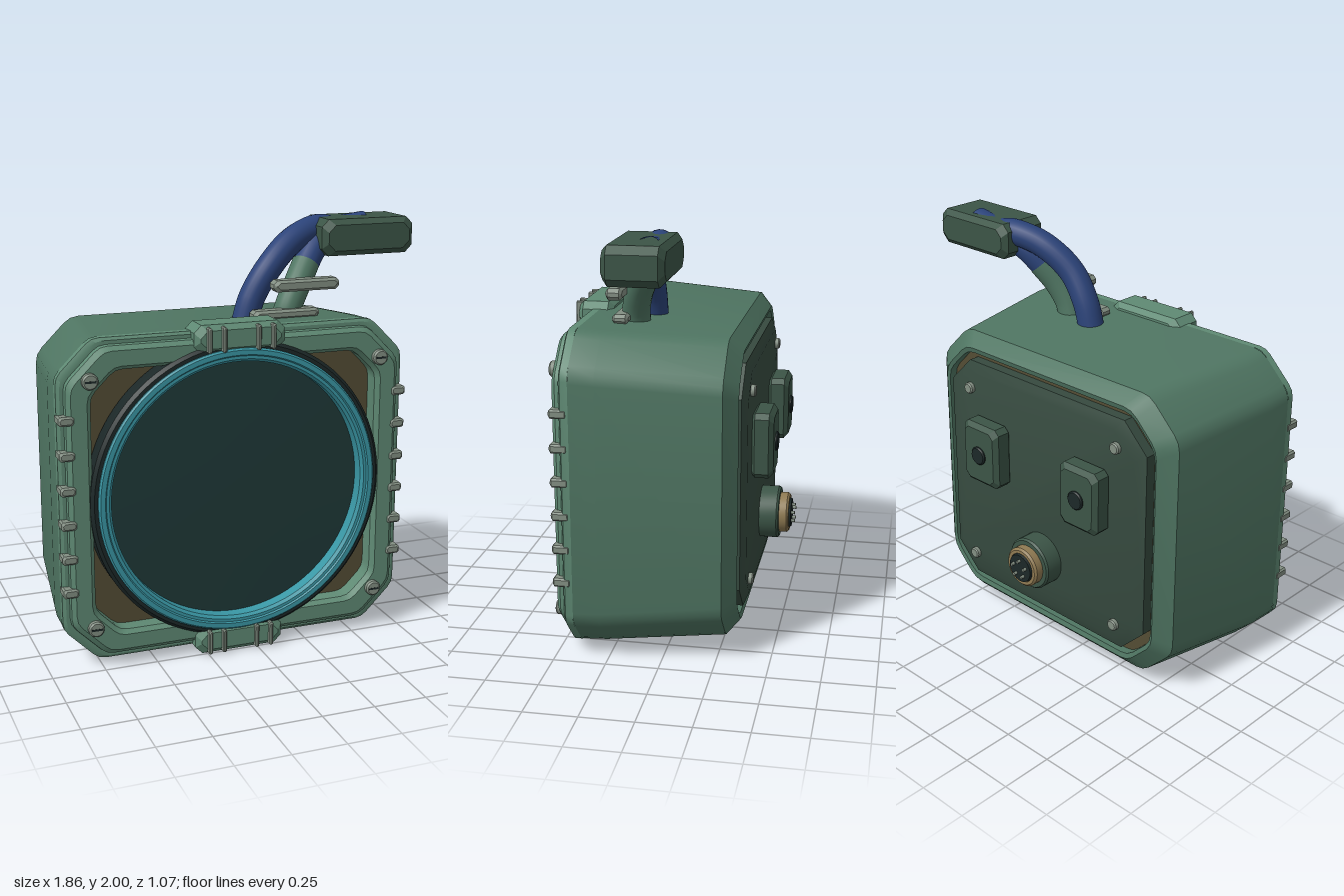
import * as THREE from 'three';
import { toCreasedNormals } from 'three/addons/utils/BufferGeometryUtils.js';

const mat = (color) => new THREE.MeshStandardMaterial({ color, side: THREE.DoubleSide });
const M = {
  body: mat(0x4f7562), frame: mat(0x5f8a74), dark: mat(0x3c5547), panel: mat(0x364a3f),
  blue: mat(0x2b4379), teal: mat(0x3a98a6), lens: mat(0x1f3938), black: mat(0x1c2828),
  brown: mat(0x544c34), metal: mat(0x838f83), gold: mat(0x8f7a52),
};
const CX = -0.09, CY = 0.795;

// Outline of a rectangle with cut corners, counter-clockwise seen from +z;
// round > 0 softens each of its eight corners with a short curve
function cutRect(w, h, c, round) {
  const p = [[w, -h + c], [w, h - c], [w - c, h], [-w + c, h],
    [-w, h - c], [-w, -h + c], [-w + c, -h], [w - c, -h]];
  if (!round) return p;
  return p.flatMap((v, i) => {
    const [a, b] = [p[(i + 7) % 8], p[(i + 1) % 8]].map((n) => {
      const t = round / Math.hypot(n[0] - v[0], n[1] - v[1]);
      return [v[0] + (n[0] - v[0]) * t, v[1] + (n[1] - v[1]) * t];
    });
    return [a, [0, 1].map((k) => (a[k] + 2 * v[k] + b[k]) / 4), b];
  });
}

// Skin over sections [z, halfWidth, halfHeight, cornerCut], optionally capped
function loft(sections, capped = false, round = 0) {
  const rings = sections.map(([z, w, h, c]) => cutRect(w, h, c, round).map(([x, y]) => [x, y, z]));
  const pos = [], n = rings[0].length;
  const tri = (...p) => p.forEach((v) => pos.push(...v));
  for (let k = 0; k < rings.length - 1; k++) {
    for (let i = 0; i < n; i++) {
      const j = (i + 1) % n;
      tri(rings[k][i], rings[k][j], rings[k + 1][j]);
      tri(rings[k][i], rings[k + 1][j], rings[k + 1][i]);
    }
  }
  if (capped) {
    const first = rings[0], last = rings[rings.length - 1];
    for (let i = 1; i < n - 1; i++) {
      tri(first[0], first[i + 1], first[i]);
      tri(last[0], last[i], last[i + 1]);
    }
  }
  const g = new THREE.BufferGeometry();
  g.setAttribute('position', new THREE.Float32BufferAttribute(pos, 3));
  return toCreasedNormals(g, 0.5);
}

// Block with all edges bevelled by b and the outline corners cut by c
const bevelBox = (w, h, d, b, c = b) => loft([
  [-d / 2, w / 2 - b, h / 2 - b, c], [-d / 2 + b, w / 2, h / 2, c],
  [d / 2 - b, w / 2, h / 2, c], [d / 2, w / 2 - b, h / 2 - b, c]], true);

export function createModel() {
  const model = new THREE.Group();
  const add = (name, geo, m, x = 0, y = 0, z = 0) => {
    const mesh = new THREE.Mesh(geo, m);
    mesh.name = name;
    mesh.position.set(x, y, z);
    model.add(mesh);
  };
  // Part turned about the z axis from [radius, z] points
  const turned = (name, pts, m, x, y, seg = 64) => {
    const g = new THREE.LatheGeometry(pts.map(([r, z]) => new THREE.Vector2(r, z)), seg);
    g.rotateX(Math.PI / 2);
    add(name, toCreasedNormals(g, 0.5), m, x, y);
  };

  // Tapered housing, with a recessed rear opening
  add('housing', loft([
    [-0.27, 0.675, 0.63, 0.14], [-0.335, 0.675, 0.632, 0.14], [-0.342, 0.688, 0.657, 0.15],
    [-0.28, 0.765, 0.72, 0.175], [0.28, 0.84, 0.752, 0.165], [0.40, 0.84, 0.758, 0.165]], false, 0.045),
  M.body, CX, CY);

  // Front frame: outer lip, then a narrower raised face around a bevelled opening
  add('frontFrame', loft([
    [0.40, 0.84, 0.758, 0.165], [0.435, 0.84, 0.758, 0.165], [0.445, 0.825, 0.745, 0.165],
    [0.445, 0.808, 0.728, 0.16], [0.468, 0.805, 0.725, 0.16], [0.486, 0.785, 0.705, 0.155],
    [0.486, 0.712, 0.635, 0.125], [0.465, 0.692, 0.617, 0.115], [0.375, 0.692, 0.617, 0.115]], false, 0.035),
  M.frame, CX, CY);
  add('frontBackingPlate', bevelBox(1.40, 1.25, 0.03, 0.005, 0.12), M.brown, CX, CY, 0.378);

  // Round front: seal, bright ring and a dark disc set back inside it
  turned('sealRing', [[0.70, 0.38], [0.71, 0.40], [0.71, 0.485], [0.695, 0.50], [0.67, 0.50],
    [0.67, 0.48]], M.black, CX, CY, 96);
  turned('brightRing', [[0.678, 0.48], [0.678, 0.507], [0.67, 0.515], [0.648, 0.515],
    [0.642, 0.508], [0.628, 0.508], [0.615, 0.495], [0.615, 0.43]], M.teal, CX, CY, 96);
  turned('frontDisc', [[0.617, 0.437], [0.4, 0.442], [0.2, 0.445], [0, 0.446]], M.lens, CX, CY, 96);

  // Rear panel
  add('rearBackingPlate', bevelBox(1.36, 1.27, 0.03, 0.005, 0.14), M.brown, CX, CY, -0.28);
  add('rearPanel', loft([
    [-0.37, 0.585, 0.545, 0.12], [-0.347, 0.64, 0.595, 0.135], [-0.28, 0.64, 0.595, 0.135]], true),
  M.panel, CX, CY);

  // Slotted screws, front and rear
  for (const sx of [-1, 1]) {
    for (const sy of [-1, 1]) {
      const x = CX + sx * 0.70, y = CY + sy * 0.58;
      turned('frontScrew', [[0.037, 0.46], [0.037, 0.505], [0.03, 0.513], [0, 0.513]], M.metal, x, y, 20);
      add('frontScrewSlot', new THREE.BoxGeometry(0.05, 0.009, 0.004), M.black, x, y, 0.513);
      turned('rearScrew', [[0, -0.393], [0.022, -0.393], [0.028, -0.387], [0.028, -0.365]], M.metal,
        CX + sx * 0.48, CY + sy * 0.463, 16);
    }
  }

  // Grip ribs wrapping the lip on both sides of the frame
  for (const s of [-1, 1]) {
    for (let i = 0; i < 6; i++) {
      add('sideRib', bevelBox(0.072, 0.042, 0.085, 0.008), M.metal, CX + s * 0.807, 0.397 + i * 0.161, 0.45);
    }
  }

  // Ribbed latches above and below the disc
  for (const s of [-1, 1]) {
    const y = CY + s * 0.725;
    add('latch', bevelBox(0.435, 0.13, 0.17, 0.024, 0.034), M.frame, CX, y, 0.425);
    for (const x of [-0.245, -0.175, -0.01, 0.062]) {
      add('latchRib', bevelBox(0.018, 0.115, 0.04, 0.005), M.metal, x, y, 0.513);
    }
  }

  // Rear sockets with round buttons
  for (const s of [-1, 1]) {
    const x = CX + s * 0.326;
    add('rearSocket', bevelBox(0.238, 0.315, 0.11, 0.022, 0.025), M.dark, x, 0.975, -0.415);
    turned('rearSocketButton', [[0, -0.482], [0.04, -0.482], [0.046, -0.476], [0.046, -0.465]],
      M.black, x, 0.975, 24);
  }

  // Rear connector with pins
  turned('connectorBase', [[0.09, -0.465], [0.122, -0.465], [0.13, -0.455], [0.13, -0.36]], M.dark, CX, 0.5, 40);
  turned('connectorRing', [[0.07, -0.50], [0.075, -0.512], [0.09, -0.512], [0.10, -0.502], [0.10, -0.46]],
    M.gold, CX, 0.5, 40);
  turned('connectorFace', [[0, -0.522], [0.07, -0.522], [0.077, -0.50]], M.black, CX, 0.5, 32);
  for (let i = 0; i < 5; i++) {
    const a = Math.PI / 2 + i * Math.PI * 0.4;
    const pin = new THREE.CylinderGeometry(0.008, 0.008, 0.03, 10).rotateX(Math.PI / 2);
    add('connectorPin', pin, M.metal, CX + Math.cos(a) * 0.042, 0.5 + Math.sin(a) * 0.042, -0.525);
  }

  // Cables rising from the top into the plug block
  const cable = (name, pts, r, m) => {
    const curve = new THREE.CatmullRomCurve3(pts.map((p) => new THREE.Vector3(...p)));
    add(name, new THREE.TubeGeometry(curve, 48, r, 20), m);
  };
  cable('mainCable', [[0.065, 1.5, 0.14], [0.105, 1.63, 0.14], [0.195, 1.77, 0.135],
    [0.335, 1.885, 0.085], [0.49, 1.932, 0.03], [0.58, 1.92, 0.02], [0.74, 1.938, 0.03]], 0.064, M.blue);
  cable('lowerCableSleeve', [[0.245, 1.5, 0.19], [0.275, 1.59, 0.188], [0.325, 1.68, 0.165],
    [0.39, 1.775, 0.12]], 0.066, M.body);
  cable('lowerCable', [[0.38, 1.762, 0.127], [0.46, 1.85, 0.08], [0.57, 1.9, 0.05],
    [0.69, 1.91, 0.04]], 0.064, M.blue);

  // Cable clamps
  add('upperClamp', bevelBox(0.335, 0.055, 0.075, 0.012, 0.018), M.metal, 0.33, 1.697, 0.247);
  add('lowerClamp', bevelBox(0.335, 0.045, 0.075, 0.012, 0.015), M.metal, 0.23, 1.563, 0.242);

  // Plug block at the end of the cables
  add('plugBlock', bevelBox(0.48, 0.175, 0.274, 0.026, 0.035), M.dark, 0.688, 1.898, 0.065);

  return model;
}
